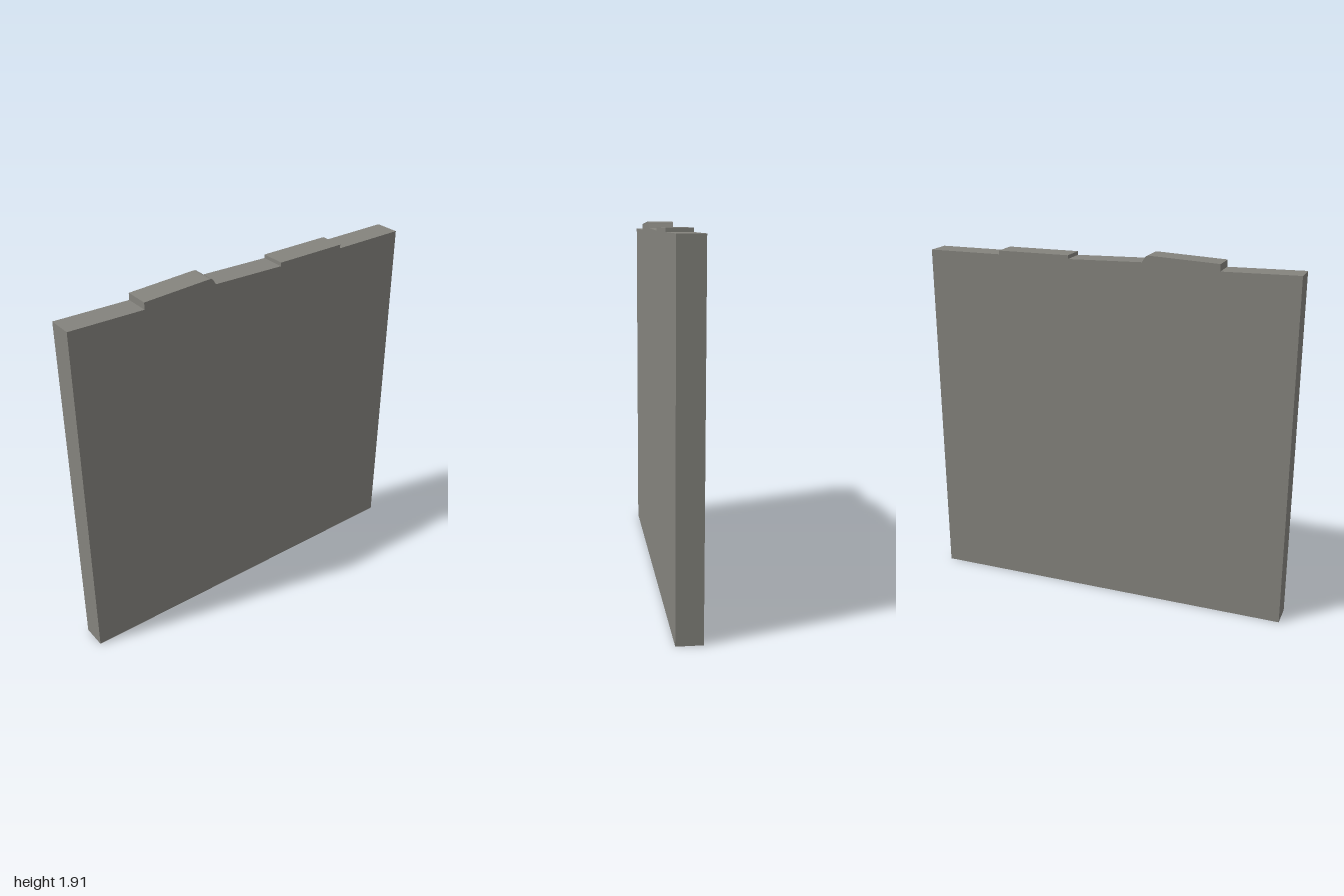
import * as THREE from 'three';

export function createModel() {
  const group = new THREE.Group();
  group.name = 'wall';
  const stone = new THREE.MeshStandardMaterial({ color: 0x84837d });
  stone.name = 'grey stone';

  // Wall outline: straight sides and base, worn stepped top edge
  const outline = new THREE.Shape();
  outline.moveTo(-1, 0);
  outline.lineTo(1, 0);
  outline.lineTo(1, 1.868);
  outline.lineTo(0.595, 1.868);
  // low flat merlon
  outline.lineTo(0.595, 1.888);
  outline.lineTo(0.2, 1.888);
  outline.lineTo(0.2, 1.869);
  outline.lineTo(-0.2, 1.879);
  // tilted merlon with a rounded corner
  outline.lineTo(-0.213, 1.9);
  outline.quadraticCurveTo(-0.219, 1.915, -0.24, 1.914);
  outline.lineTo(-0.602, 1.897);
  outline.lineTo(-0.602, 1.861);
  outline.lineTo(-1, 1.868);
  outline.closePath();

  const depth = 0.133;
  const geometry = new THREE.ExtrudeGeometry(outline, { depth, bevelEnabled: false, curveSegments: 6 });
  geometry.translate(0, 0, -depth / 2);
  const slab = new THREE.Mesh(geometry, stone);
  slab.name = 'wallSlab';
  group.add(slab);
  return group;
}
